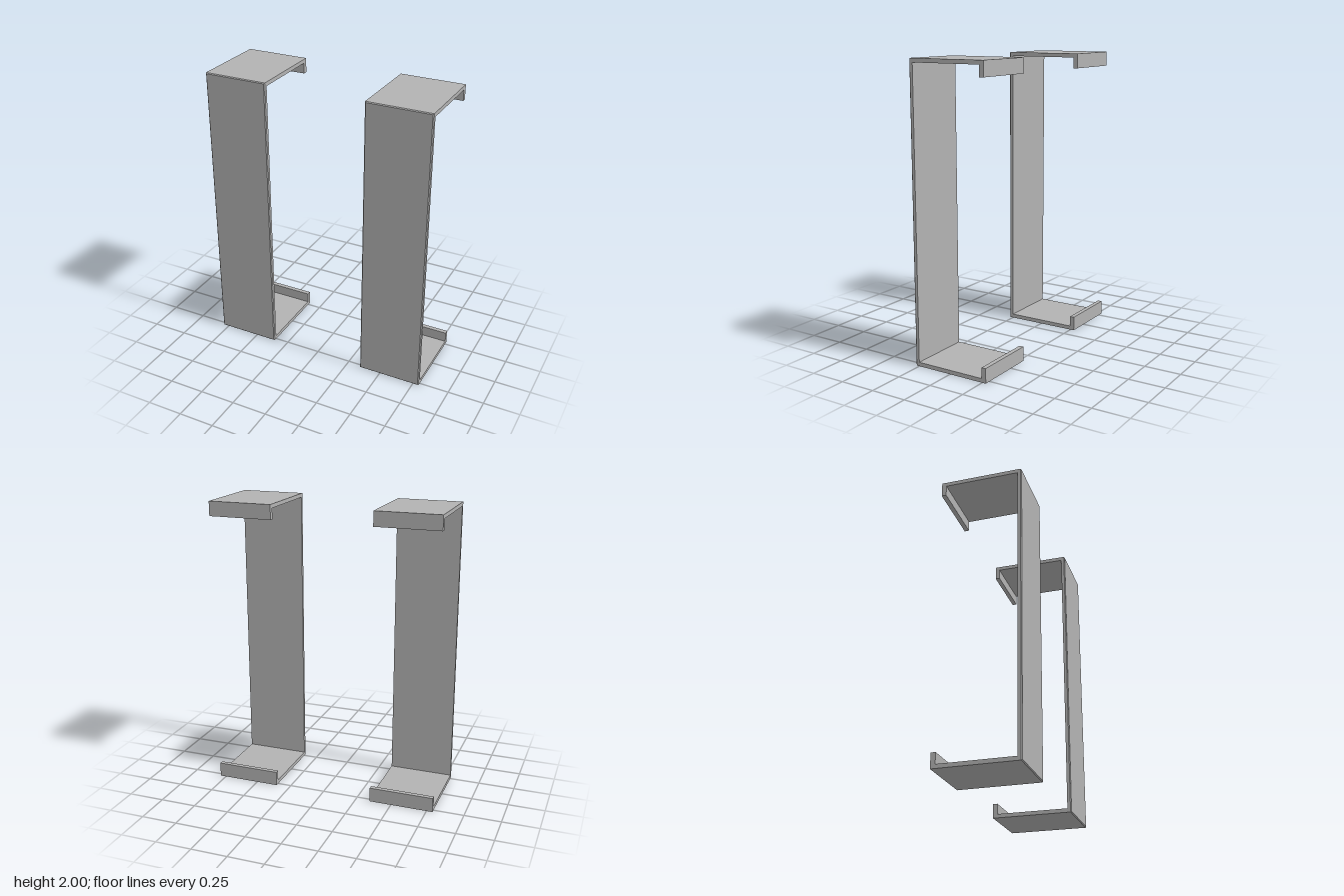
import * as THREE from 'three';

const WIDTH = 0.443, HEIGHT = 2, DEPTH = 0.555, T = 0.027;
const BEVEL = 0.006, LIP = 0.1, CENTRE_X = 0.57;

// Front panel: a thin slab whose front edges are chamfered
function panelGeometry() {
  const box = new THREE.BoxGeometry(WIDTH, HEIGHT, T, 1, 1, 2);
  const p = box.attributes.position;
  for (let i = 0; i < p.count; i++) {
    const z = p.getZ(i);
    if (z > T / 4) {
      p.setX(i, p.getX(i) - Math.sign(p.getX(i)) * BEVEL);
      p.setY(i, p.getY(i) - Math.sign(p.getY(i)) * BEVEL);
    } else if (z > -T / 4) {
      p.setZ(i, T / 2 - BEVEL);
    }
  }
  const flat = box.toNonIndexed();
  flat.computeVertexNormals();
  return flat;
}

// Flange: L-shaped profile running back from the panel, with an upturned lip
function flangeGeometry() {
  const length = DEPTH - T;
  const shape = new THREE.Shape([
    [0, 0], [length, 0], [length, LIP], [length - 0.031, LIP],
    [length - 0.031, T], [0, T],
  ].map(([x, y]) => new THREE.Vector2(x, y)));
  const geometry = new THREE.ExtrudeGeometry(shape, { depth: WIDTH, bevelEnabled: false });
  geometry.translate(0, 0, -WIDTH / 2);
  geometry.rotateY(Math.PI / 2); // profile x now runs towards -z
  return geometry.translate(0, 0, DEPTH / 2 - T);
}

export function createModel() {
  const metal = new THREE.MeshStandardMaterial({ color: 0xb2b2b2 });
  metal.name = 'grey metal';
  const panel = panelGeometry();
  const flange = flangeGeometry();

  const model = new THREE.Group();
  model.name = 'bracketPair';

  for (const side of [-1, 1]) {
    const bracket = new THREE.Group();
    bracket.name = side > 0 ? 'leftBracket' : 'rightBracket';
    bracket.position.x = side * CENTRE_X;

    const front = new THREE.Mesh(panel, metal);
    front.name = 'frontPanel';
    front.position.set(0, HEIGHT / 2, DEPTH / 2 - T / 2);

    const bottom = new THREE.Mesh(flange, metal);
    bottom.name = 'bottomFlange';

    // The top flange is the bottom one turned over, its lip hanging down
    const top = new THREE.Mesh(flange, metal);
    top.name = 'topFlange';
    top.rotation.z = Math.PI;
    top.position.y = HEIGHT;

    bracket.add(front, bottom, top);
    model.add(bracket);
  }
  return model;
}
